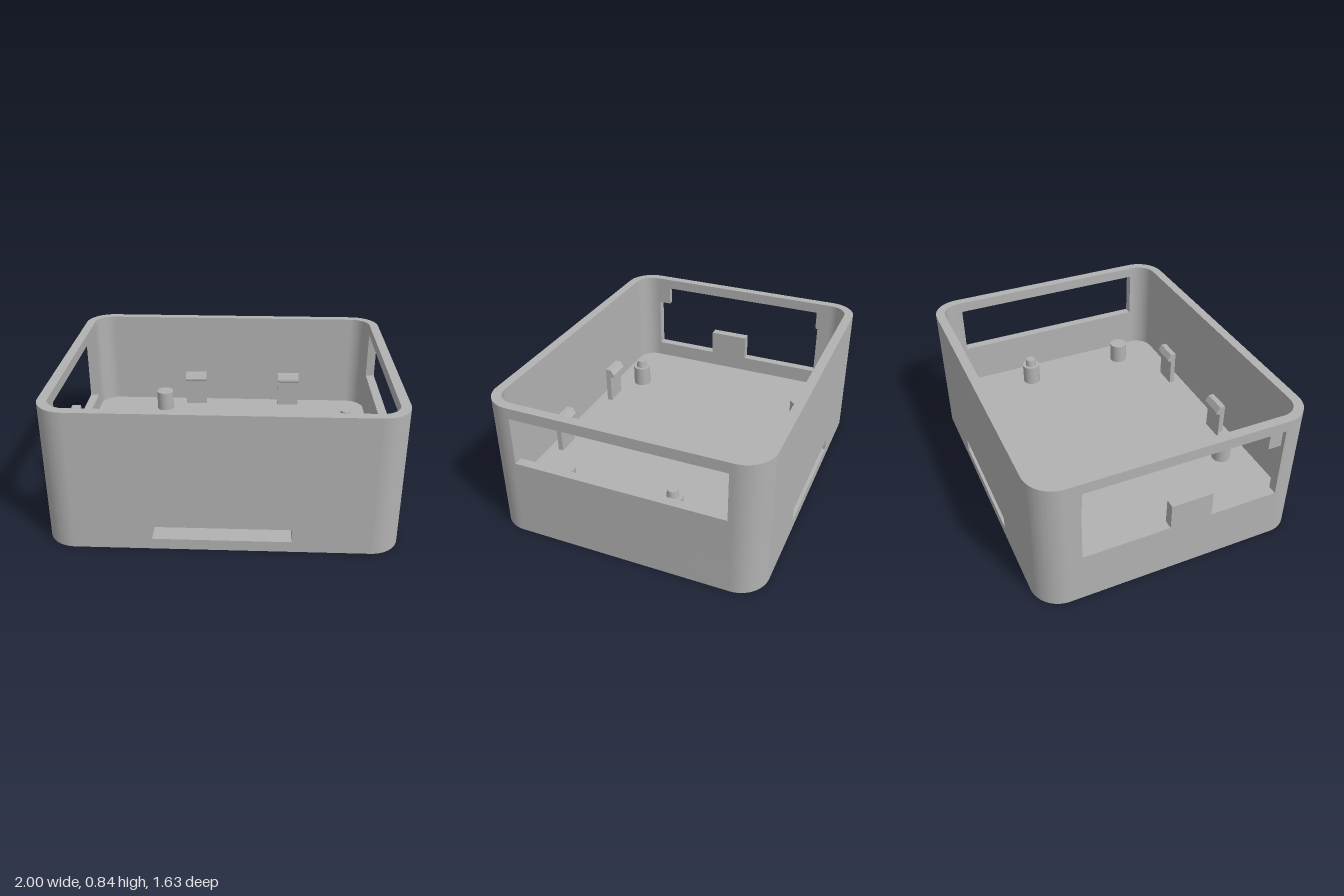
import * as THREE from 'three';
import { toCreasedNormals } from 'three/addons/utils/BufferGeometryUtils.js';

const W = 1, D = 0.813, H = 0.84;      // half width, half depth, height
const R = 0.17, T = 0.056;             // corner radius, wall thickness
const FLOOR = 0.22, SLOT = { x: 0.39, y0: 0.065, y1: 0.145 };

export function createModel() {
  const model = new THREE.Group();
  model.name = 'enclosure';
  const grey = new THREE.MeshStandardMaterial({ color: 0xb2b2b2 });
  grey.name = 'grey plastic';

  const add = (name, geometry, x = 0, y = 0, z = 0, turn = 0) => {
    const mesh = new THREE.Mesh(geometry, grey);
    mesh.name = name;
    mesh.position.set(x, y, z);
    mesh.rotation.y = turn;
    model.add(mesh);
    return mesh;
  };
  const extrude = (shape, depth) => toCreasedNormals(
    new THREE.ExtrudeGeometry(shape, { depth, bevelEnabled: false, curveSegments: 16 }), 0.5);
  const polygon = (points) => new THREE.Shape(points.map(([x, y]) => new THREE.Vector2(x, y)));
  // Extrude a plan outline upwards
  const slab = (shape, height) => extrude(shape, height).rotateX(-Math.PI / 2);

  // Thick base: two rounded slabs with a strap tunnel running between them
  const plan = new THREE.Shape();
  plan.moveTo(-W + R, -D);
  plan.lineTo(W - R, -D);
  plan.absarc(W - R, -D + R, R, -Math.PI / 2, 0);
  plan.lineTo(W, D - R);
  plan.absarc(W - R, D - R, R, 0, Math.PI / 2);
  plan.lineTo(-W + R, D);
  plan.absarc(-W + R, D - R, R, Math.PI / 2, Math.PI);
  plan.lineTo(-W, -D + R);
  plan.absarc(-W + R, -D + R, R, Math.PI, Math.PI * 1.5);
  add('baseBottom', slab(plan, SLOT.y0));
  add('baseFloor', slab(plan, FLOOR - SLOT.y1), 0, SLOT.y1);

  const side = new THREE.Shape();
  side.moveTo(SLOT.x, -D);
  side.lineTo(W - R, -D);
  side.absarc(W - R, -D + R, R, -Math.PI / 2, 0);
  side.lineTo(W, D - R);
  side.absarc(W - R, D - R, R, 0, Math.PI / 2);
  side.lineTo(SLOT.x, D);
  const tunnelSide = slab(side, SLOT.y1 - SLOT.y0);
  for (const turn of [0, Math.PI]) add('tunnelSide', tunnelSide, 0, SLOT.y0, 0, turn);

  // Rounded wall corners
  const arc = new THREE.Shape();
  arc.moveTo(R, 0);
  arc.absarc(0, 0, R, 0, Math.PI / 2);
  arc.lineTo(0, R - T);
  arc.absarc(0, 0, R - T, Math.PI / 2, 0, true);
  const corner = slab(arc, H - FLOOR);
  [[1, -1], [-1, -1], [-1, 1], [1, 1]].forEach(([sx, sz], k) =>
    add('wallCorner', corner, sx * (W - R), FLOOR, sz * (D - R), k * Math.PI / 2));

  // Plain front and back walls
  const longWall = new THREE.BoxGeometry(2 * (W - R), H - FLOOR, T);
  for (const s of [1, -1]) {
    add(s > 0 ? 'frontWall' : 'backWall', longWall, 0, (H + FLOOR) / 2, s * (D - T / 2));
  }

  // Side walls with openings, outlined as (z, y)
  const sideWall = (name, x, opening) => {
    const e = D - R;
    const shape = polygon([[-e, FLOOR], [e, FLOOR], [e, H], [-e, H]]);
    shape.holes.push(polygon(opening));
    add(name, extrude(shape, T), x, 0, 0, -Math.PI / 2);
  };
  sideWall('leftWall', W, [[-0.62, 0.48], [0.63, 0.48], [0.63, 0.775], [-0.62, 0.775]]);
  sideWall('rightWall', -W + T, [[-0.565, 0.32], [-0.045, 0.32], [-0.045, 0.48], [0.21, 0.48],
    [0.21, 0.32], [0.63, 0.32], [0.63, 0.775], [-0.565, 0.775]]);

  // Small stops in the upper corners of the right opening
  for (const [z0, z1] of [[-0.565, -0.55], [0.55, 0.63]]) {
    add('openingStop', new THREE.BoxGeometry(0.03, 0.12, z1 - z0), -W + T - 0.015, 0.715, (z0 + z1) / 2);
  }

  // Board supports, two of them with locating pins
  const post = new THREE.CylinderGeometry(0.057, 0.057, 0.13, 32);
  const pin = new THREE.CylinderGeometry(0.031, 0.036, 0.045, 32);
  for (const [x, z, pinned] of [[-0.47, -0.59, false], [0.77, -0.22, true],
    [0.77, 0.46, false], [-0.5, 0.58, true]]) {
    add('boardSupport', post, x, FLOOR + 0.065, z);
    if (pinned) add('locatingPin', pin, x, FLOOR + 0.1525, z);
  }

  // Snap clips with hooks facing inwards
  const L = 0.145;
  const clip = extrude(polygon([[0, FLOOR], [0.032, FLOOR], [0.032, 0.395], [0.058, 0.41],
    [0.058, 0.42], [0.035, 0.455], [0, 0.455]]), L).translate(0, 0, -L / 2);
  for (const x of [-0.253, 0.405]) {
    add('backClip', clip, x, 0, -0.702, -Math.PI / 2);
    add('frontClip', clip, x, 0, 0.695, Math.PI / 2);
  }
  return model;
}
